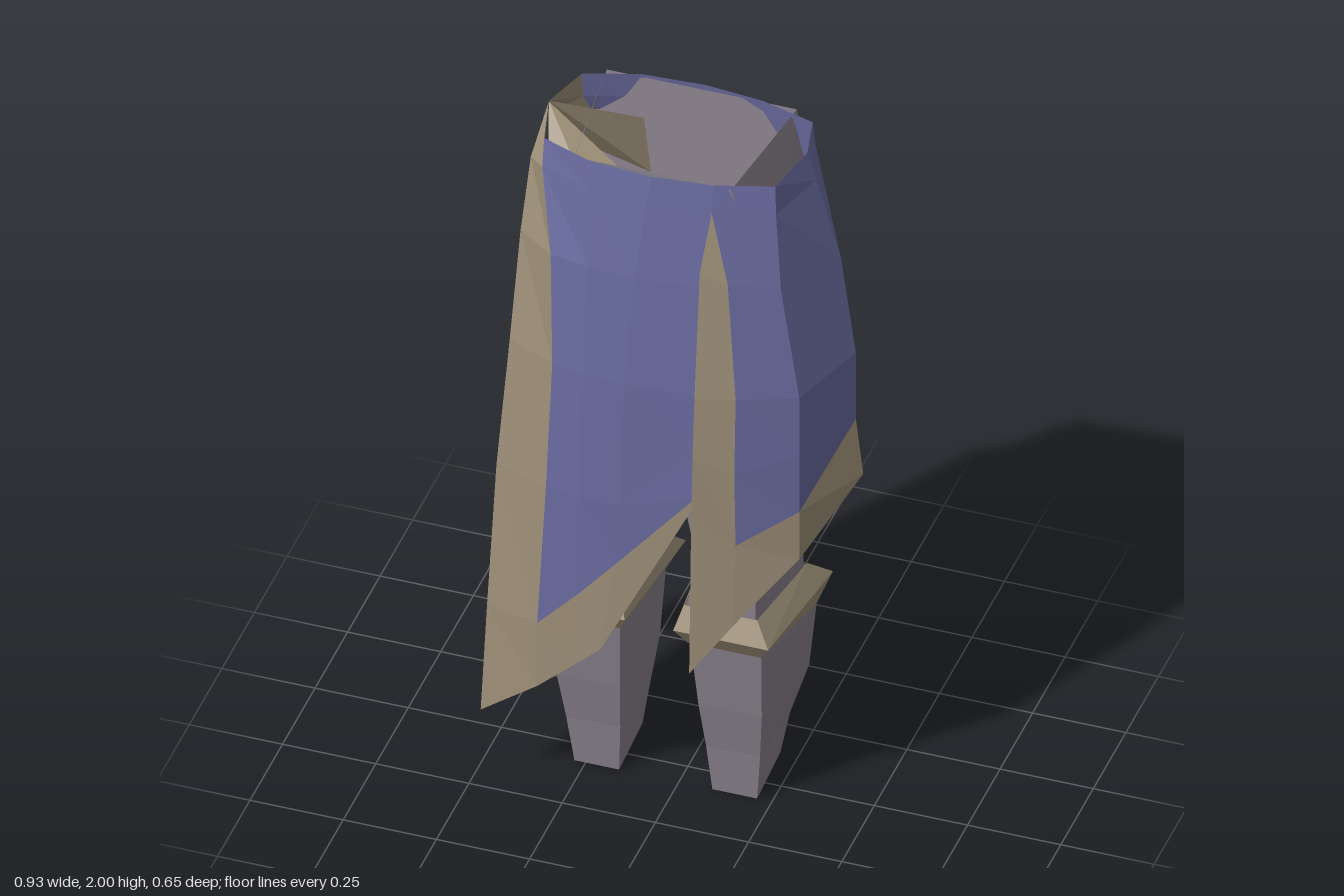
import * as THREE from 'three';

const mat = (name, color) => {
  const m = new THREE.MeshStandardMaterial({ color, flatShading: true, side: THREE.DoubleSide });
  m.name = name;
  return m;
};

// Skin a surface across a list of equally long point lists
function loft(lines, closed = false) {
  const n = lines[0].length, index = [];
  for (let i = 0; i < lines.length - 1; i++) {
    for (let j = 0; j < (closed ? n : n - 1); j++) {
      const a = i * n + j, b = i * n + (j + 1) % n, c = a + n, d = b + n;
      index.push(a, b, d, a, d, c);
    }
  }
  const g = new THREE.BufferGeometry();
  g.setAttribute('position', new THREE.Float32BufferAttribute(lines.flat(2), 3));
  g.setIndex(index);
  const flat = g.toNonIndexed();
  flat.computeVertexNormals();
  return flat;
}

// Four-sided leg section, wider at the back, measured outward from the centre line
const CENTRE = -0.035;
const section = side => ([y, innerF, outerF, outerB, innerB, zf, zb, lift = 0]) =>
  [[innerF, y, zf], [outerF, y, zf], [outerB, y + lift, zb], [innerB, y + lift, zb]]
    .map(([u, h, z]) => [CENTRE + side * u, h, z]);

// y, inner front, outer front, outer back, inner back, front z, back z, lift of the back
const LEG = [
  [0, 0.125, 0.245, 0.245, 0.125, 0.07, -0.11, 0.02],
  [0.15, 0.115, 0.26, 0.27, 0.105, 0.09, -0.11],
  [0.3, 0.105, 0.275, 0.315, 0.085, 0.12, -0.13],
  [0.5, 0.095, 0.285, 0.335, 0.07, 0.15, -0.13],
  [0.64, 0.09, 0.275, 0.31, 0.07, 0.17, -0.1],
  [0.8, 0.12, 0.28, 0.31, 0.08, 0.175, -0.1],
  [1.0, 0.08, 0.33, 0.355, 0.06, 0.175, -0.11],
  [1.2, 0, 0.35, 0.37, 0, 0.175, -0.16],
];
const HIP = [
  LEG[7],
  [1.6, 0, 0.33, 0.34, 0, 0.16, -0.18],
  [1.99, 0, 0.21, 0.255, 0, 0.168, -0.207],
];
const BAND = [
  [0.52, 0.09, 0.285, 0.335, 0.075, 0.16, -0.13, -0.02],
  [0.58, 0.065, 0.32, 0.365, 0.03, 0.2, -0.17],
  [0.645, 0.085, 0.28, 0.32, 0.06, 0.17, -0.1],
];

// Long panel: columns from its free edge to the slit; last point is the hem
const LONG = [
  [[-0.38, 2, -0.02], [-0.39, 1.9, 0.09], [-0.4, 1.7, 0.14], [-0.415, 1.38, 0.18], [-0.44, 1, 0.21], [-0.455, 0.57, 0.24], [-0.465, 0.25, 0.26]],
  [[-0.34, 2, 0.13], [-0.34, 1.92, 0.145], [-0.295, 1.7, 0.21], [-0.28, 1.38, 0.24], [-0.29, 1, 0.26], [-0.31, 0.57, 0.27], [-0.31, 0.37, 0.27]],
  [[-0.2, 2, 0.183], [-0.2, 1.92, 0.195], [-0.19, 1.7, 0.23], [-0.19, 1.38, 0.26], [-0.2, 1, 0.272], [-0.2, 0.69, 0.273], [-0.22, 0.455, 0.273]],
  [[-0.03, 2, 0.195], [-0.04, 1.92, 0.207], [-0.06, 1.7, 0.238], [-0.08, 1.38, 0.265], [-0.09, 1, 0.275], [-0.1, 0.81, 0.275], [-0.14, 0.53, 0.275]],
  [[0.13, 2, 0.178], [0.13, 1.92, 0.19], [0.125, 1.7, 0.22], [0.12, 1.38, 0.248], [0.115, 1.2, 0.255], [0.11, 1.06, 0.26], [0.11, 1.04, 0.26]],
];

// Side panel: columns from the front slit to the middle of the side
const SIDE = [
  [[0.13, 1.92, 0.19], [0.13, 1.92, 0.19], [0.11, 1.75, 0.225], [0.11, 1.38, 0.265], [0.11, 1.2, 0.28], [0.11, 1.02, 0.29], [0.115, 0.55, 0.32]],
  [[0.13, 2, 0.178], [0.13, 1.92, 0.19], [0.18, 1.72, 0.21], [0.21, 1.38, 0.235], [0.21, 1.15, 0.245], [0.215, 0.93, 0.25], [0.215, 0.69, 0.27]],
  [[0.28, 2, 0.13], [0.285, 1.92, 0.14], [0.305, 1.7, 0.16], [0.36, 1.38, 0.175], [0.36, 1.2, 0.175], [0.36, 1.02, 0.175], [0.36, 0.87, 0.175]],
  [[0.31, 2, -0.03], [0.335, 1.92, -0.03], [0.4, 1.69, -0.03], [0.44, 1.4, -0.03], [0.44, 1.3, -0.03], [0.44, 1.19, -0.03], [0.46, 1.02, -0.03]],
];

// Carry a front column over to the back, which is fuller below the waist;
// the middle of the side stays in place
const fullness = (x, y) => (x > 0.25 || y > 1.8 || y < 1.3 ? 0 : y > 1.5 ? 0.042 : 0.02);
const toBack = cols => cols.map(c => c.map(([x, y, z]) =>
  [x, y, z === -0.03 ? z : -(0.9 * z + 0.04) - fullness(x, y)]));

// Corner of the trim folded into the waist
const FOLD = [[[-0.38, 2, -0.02], [-0.33, 1.78, 0.13]], [[-0.16, 1.93, 0.09], [-0.16, 1.72, 0.15]]];

export function createModel() {
  const root = new THREE.Group();
  const grey = mat('trouser grey', 0x8a828c);
  const blue = mat('cloth blue', 0x696b9f);
  const tan = mat('trim tan', 0x9d8f78);
  const add = (name, geometry, material) => {
    const mesh = new THREE.Mesh(geometry, material);
    mesh.name = name;
    root.add(mesh);
  };

  // Trousers and knee bands
  for (const [label, side] of [['left', 1], ['right', -1]]) {
    add(`${label}Leg`, loft(LEG.map(section(side)), true), grey);
    add(`${label}Hip`, loft(HIP.map(section(side))), grey);
    add(`${label}KneeBand`, loft(BAND.map(section(side)), true), tan);
  }

  // Skirt panels with trimmed edges and hems
  for (const [label, carry] of [['front', c => c], ['back', toBack]]) {
    const long = carry(LONG), sidePanel = carry(SIDE);
    for (const [part, cols] of [['LongPanel', long], ['SidePanel', sidePanel]]) {
      const inner = cols.slice(1);
      add(`${label}${part}`, loft(inner.map(c => c.slice(0, -1))), blue);
      add(`${label}${part}Hem`, loft(inner.map(c => c.slice(-2))), tan);
    }
    add(`${label}LongPanelEdge`, loft(long.slice(0, 2)), tan);
    add(`${label}SidePanelEdge`, loft(sidePanel.slice(0, 2).map(c => c.slice(1))), tan);
    // The fold lies inside the waist, so it takes no fullness
    const fold = label === 'front' ? FOLD : FOLD.map(c => c.map(([x, y, z]) => [x, y, -(0.9 * z + 0.04)]));
    add(`${label}WaistFold`, loft(fold), tan);
  }
  return root;
}
